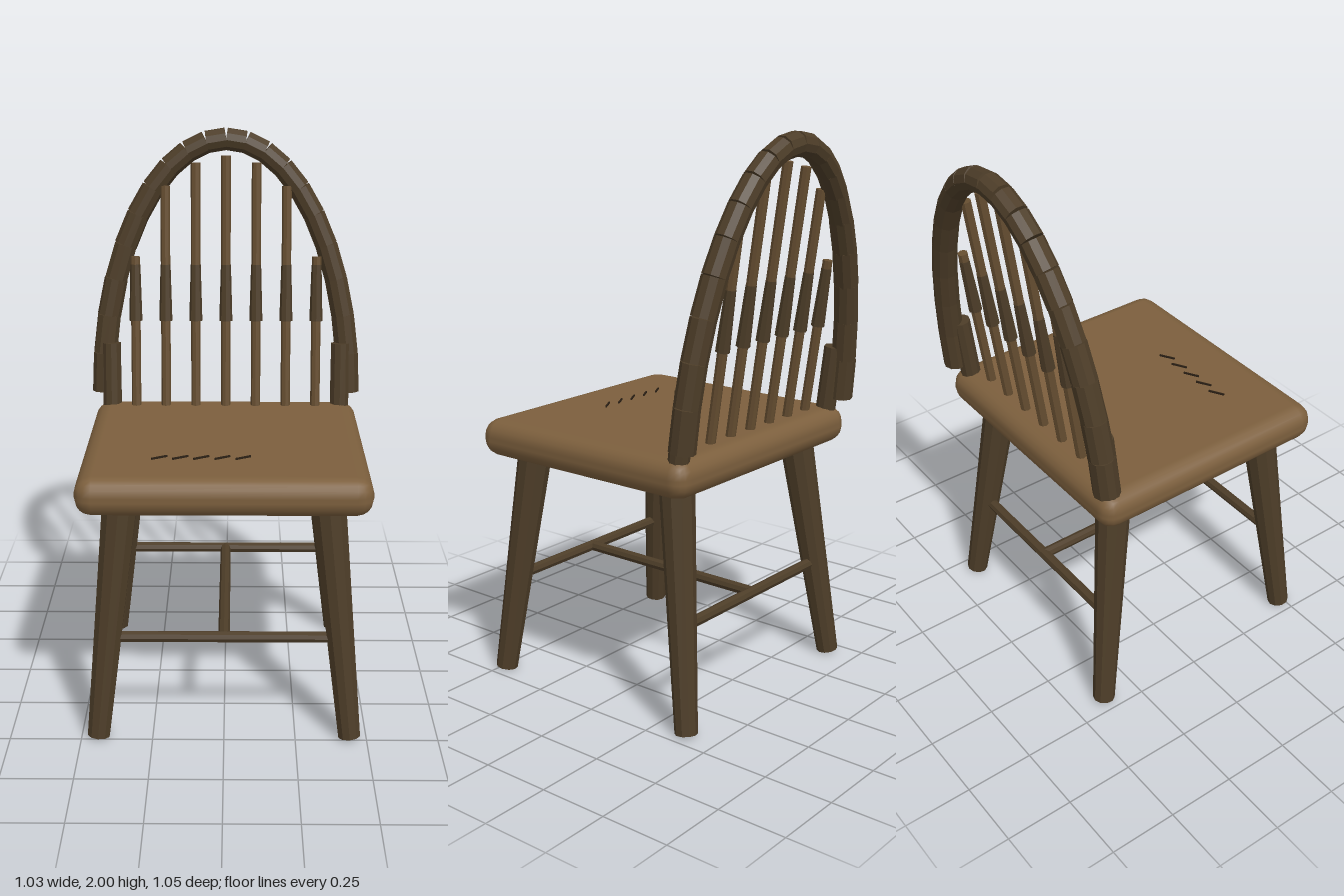
import * as THREE from 'three';
import { RoundedBoxGeometry } from 'three/addons/geometries/RoundedBoxGeometry.js';

function material(name, color) {
  const m = new THREE.MeshStandardMaterial({ color });
  m.name = name;
  return m;
}

export function createModel() {
  const chair = new THREE.Group();
  chair.name = 'chair';
  const seatWood = material('seat wood', 0x7c5f3d);
  const darkWood = material('dark wood', 0x4d3d28);
  const spindleWood = material('spindle wood', 0x664e31);
  const scratchDark = material('scratch dark', 0x2b2015);
  for (const m of [darkWood, spindleWood]) m.flatShading = true;

  // Tapered round bar between two points
  const up = new THREE.Vector3(0, 1, 0);
  function rod(name, a, b, rA, rB, mat, sides = 10) {
    const from = new THREE.Vector3(...a), to = new THREE.Vector3(...b);
    const dir = to.clone().sub(from);
    const mesh = new THREE.Mesh(new THREE.CylinderGeometry(rB, rA, dir.length(), sides), mat);
    mesh.position.copy(from).add(to).multiplyScalar(0.5);
    mesh.quaternion.setFromUnitVectors(up, dir.normalize());
    mesh.name = name;
    chair.add(mesh);
  }

  // Seat
  const seat = new THREE.Mesh(new RoundedBoxGeometry(1, 0.135, 0.93, 2, 0.06), seatWood);
  seat.position.set(0, 0.903, 0.06);
  seat.name = 'seat';
  chair.add(seat);

  // Row of thin scratches on the seat
  for (let i = 0; i < 5; i++) {
    const scratch = new THREE.Mesh(new THREE.BoxGeometry(0.06, 0.008, 0.005), scratchDark);
    scratch.position.set(-0.223 + i * 0.072, 0.973, 0.29);
    scratch.rotation.y = 0.52;
    scratch.name = 'seatScratch';
    chair.add(scratch);
  }

  // Splayed legs and short posts under the bow ends
  for (const s of [-1, 1]) {
    rod('frontLeg', [s * 0.44, 0.004, 0.48], [s * 0.353, 0.86, 0.383], 0.04, 0.062, darkWood);
    rod('rearLeg', [s * 0.44, 0.004, -0.38], [s * 0.353, 0.86, -0.27], 0.04, 0.062, darkWood);
    rod('bowPost', [s * 0.437, 0.9, -0.338], [s * 0.437, 1.2, -0.374], 0.037, 0.035, darkWood);
  }

  // H-shaped stretchers
  rod('frontStretcher', [-0.4, 0.367, 0.438], [0.4, 0.367, 0.438], 0.02, 0.02, darkWood, 8);
  rod('rearStretcher', [-0.4, 0.367, -0.334], [0.4, 0.367, -0.334], 0.02, 0.02, darkWood, 8);
  rod('middleStretcher', [0, 0.367, 0.438], [0, 0.367, -0.334], 0.02, 0.02, darkWood, 8);

  // Leaning spindles with a thicker sleeve on each
  const leanZ = (y) => -0.312 - 0.148 * (y - 0.95);
  const tops = [1.9, 1.875, 1.79, 1.53];
  for (let i = -3; i <= 3; i++) {
    const x = i * 0.114, top = tops[Math.abs(i)];
    rod('spindle', [x, 0.92, leanZ(0.92)], [x, top, leanZ(top)], 0.018, 0.018, spindleWood, 8);
    rod('spindleSleeve', [x, 1.29, leanZ(1.29)], [x, 1.5, leanZ(1.5)], 0.025, 0.019, darkWood, 8);
  }

  // Arched back bow made of overlapping straight segments
  const bowPoint = (t) => {
    const h = Math.sin(t);
    return [0.47 * Math.cos(t), 1.005 + 0.953 * h, -0.385 - 0.098 * h];
  };
  const count = 20;
  for (let i = 0; i < count; i++) {
    const t0 = (i / count) * Math.PI, t1 = ((i + 1) / count) * Math.PI;
    const radius = (t) => 0.046 - 0.004 * Math.sin(t);
    rod('backBow', bowPoint(t0), bowPoint(t1), radius(t0), radius(t1), darkWood);
  }
  return chair;
}
